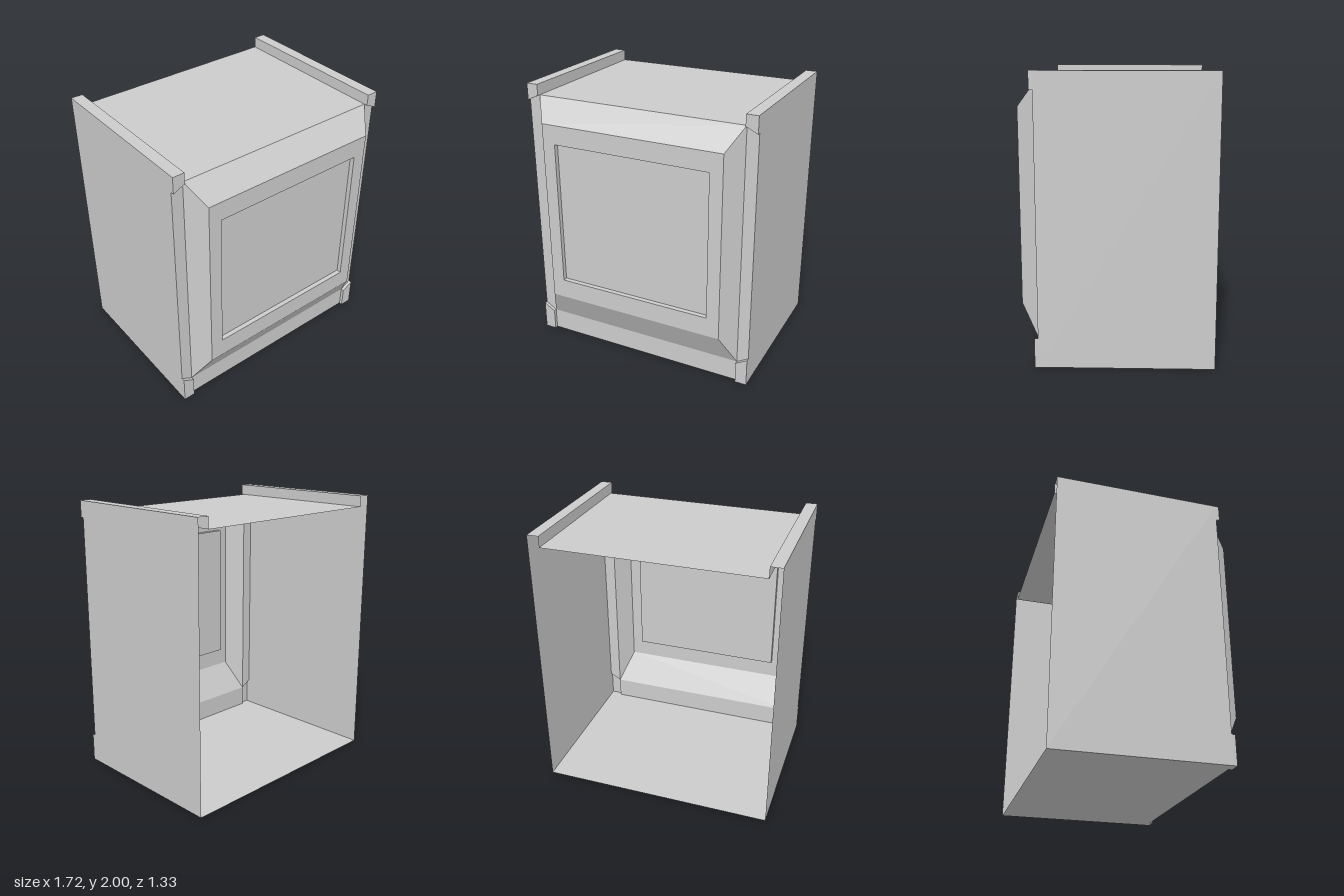
import * as THREE from 'three';

const OUT = 0.86, IN = 0.775;                    // outer wall and inner edge of the posts
const BACK = -0.665, FACE = 0.535, POST = 0.56;  // depths
const TOP = 2, DECK = 1.92, SILL = 0.16;         // heights
const NOTCH_HI = 1.88, NOTCH_LO = 0.21;          // post steps at the outer edge

const material = new THREE.MeshStandardMaterial({
  color: 0xcccccc, flatShading: true, side: THREE.DoubleSide,
});

// One mesh from convex polygons, each a list of [x, y, z] corners
function sheet(name, polygons) {
  const pos = [];
  for (const p of polygons) {
    for (let i = 1; i < p.length - 1; i++) pos.push(...p[0], ...p[i], ...p[i + 1]);
  }
  const g = new THREE.BufferGeometry();
  g.setAttribute('position', new THREE.Float32BufferAttribute(pos, 3));
  g.computeVertexNormals();
  const mesh = new THREE.Mesh(g, material);
  mesh.name = name;
  return mesh;
}

const mirror = (polys) => polys.map((p) => p.map(([x, y, z]) => [-x, y, z]).reverse());

const wall = (x, y0, y1, z0, z1) => [[x, y0, z1], [x, y0, z0], [x, y1, z0], [x, y1, z1]];
const deck = (x0, x1, y, z0, z1) => [[x0, y, z1], [x1, y, z1], [x1, y, z0], [x0, y, z0]];
const rect = (x0, x1, y0, y1, z) => [[x0, y0, z], [x1, y0, z], [x1, y1, z], [x0, y1, z]];

// Join successive four-cornered loops and close the last one
function loft(loops) {
  const polys = [];
  for (let k = 0; k < loops.length - 1; k++) {
    const a = loops[k], b = loops[k + 1];
    for (let i = 0; i < 4; i++) {
      const j = (i + 1) % 4;
      polys.push([a[i], a[j], b[j], b[i]]);
    }
  }
  polys.push(loops[loops.length - 1]);
  return polys;
}

export function createModel() {
  const group = new THREE.Group();
  group.name = 'cabinet';

  // Side parts, drawn for +x and mirrored
  const sideParts = {
    SideWall: [
      wall(OUT, 0, TOP, BACK, FACE),
      wall(OUT, 0, NOTCH_LO, FACE, POST),
      wall(OUT, NOTCH_HI, TOP, FACE, POST),
    ],
    // Raised rail along the top edge, open underneath
    TopRail: [
      deck(IN, OUT, TOP, BACK, POST),
      wall(IN, DECK, TOP, BACK, POST).reverse(),
    ],
    // Front post: stepped blocks at the ends, recessed strip between
    FrontPost: [
      [[IN, 0, POST], [OUT, 0, POST], [OUT, NOTCH_LO, POST], [IN, SILL, POST]],
      [[IN, SILL, POST], [OUT, NOTCH_LO, POST], [OUT, NOTCH_LO, FACE], [IN, SILL, FACE]],
      [[IN, SILL, FACE], [OUT, NOTCH_LO, FACE], [OUT, NOTCH_HI, FACE], [IN, DECK, FACE]],
      [[IN, DECK, FACE], [OUT, NOTCH_HI, FACE], [OUT, NOTCH_HI, POST], [IN, DECK, POST]],
      [[IN, DECK, POST], [OUT, NOTCH_HI, POST], [OUT, TOP, POST], [IN, TOP, POST]],
      wall(IN, 0, SILL, FACE, POST).reverse(),
    ],
    FloorEdge: [deck(IN, OUT, 0, BACK, POST).reverse()],
  };
  for (const [name, polys] of Object.entries(sideParts)) {
    group.add(sheet('left' + name, polys), sheet('right' + name, mirror(polys)));
  }

  // Top, floor and lower front strip
  group.add(
    sheet('topPanel', [deck(-IN, IN, DECK, BACK, FACE)]),
    sheet('floorPanel', [deck(-IN, IN, 0, BACK, FACE).reverse()]),
    sheet('lowerFrontPanel', [rect(-IN, IN, 0, SILL, FACE)]),
  );

  // Bevelled front bezel with a shallow recessed window
  group.add(sheet('frontBezel', loft([
    rect(-IN, IN, SILL, DECK, FACE),
    rect(-0.68, 0.68, 0.4, 1.76, 0.665),
    rect(-0.585, 0.585, 0.545, 1.62, 0.665),
    rect(-0.585, 0.585, 0.545, 1.62, 0.63),
  ])));

  return group;
}
